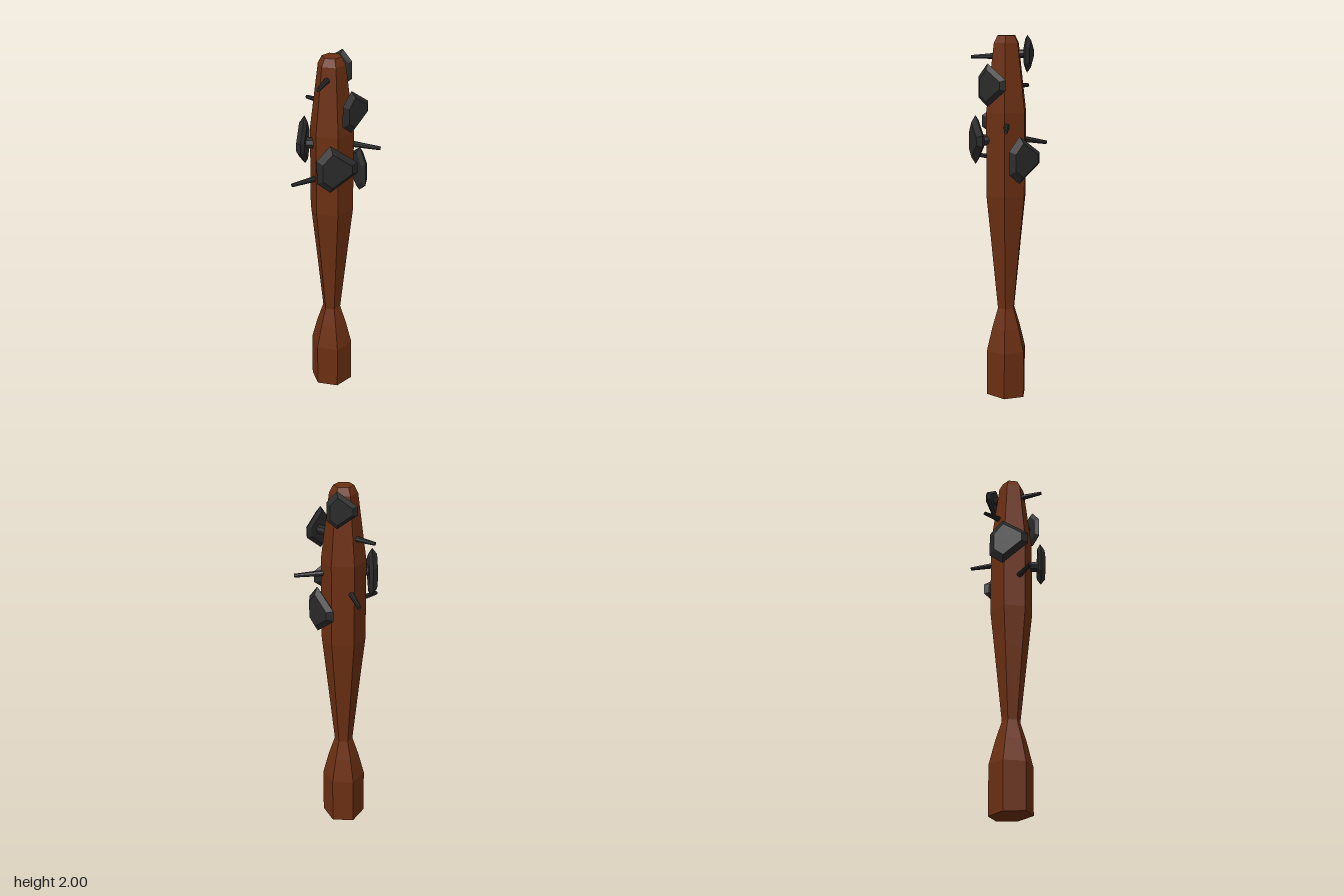
import * as THREE from 'three';

const AXIS_X = 0.02, AXIS_Z = -0.015;
const wood = new THREE.MeshStandardMaterial({ color: 0x6b2f12, flatShading: true });
const iron = new THREE.MeshStandardMaterial({ color: 0x2a2a2a, flatShading: true });

function addMesh(parent, name, geometry, material) {
  const mesh = new THREE.Mesh(geometry, material);
  mesh.name = name;
  parent.add(mesh);
  return mesh;
}

// Six-sided club: pommel, narrow waist, flared head, chamfered tip
function clubGeometry() {
  const profile = [
    [0, 0], [0.118, 0], [0.118, 0.27], [0.085, 0.4], [0.05, 0.51], [0.093, 0.92],
    [0.118, 1.15], [0.118, 1.6], [0.073, 1.96], [0.052, 2], [0, 2],
  ].map(([r, y]) => new THREE.Vector2(r, y));
  const geometry = new THREE.LatheGeometry(profile, 6, Math.PI / 2);
  const p = geometry.attributes.position;
  // Slightly slanted cut under the pommel
  for (let i = 0; i < p.count; i++) {
    if (p.getY(i) < 0.1) p.setY(i, 0.007 - 0.04 * p.getX(i) + 0.04 * p.getZ(i));
  }
  return geometry.toNonIndexed();
}

// Irregular hexagonal plate, widest at its rim and facing local +z
function plateGeometry() {
  const outline = [[-0.09, 0.045], [-0.03, 0.113], [0.09, 0.03], [0.09, -0.022], [-0.03, -0.112], [-0.09, -0.065]]
    .reverse(); // counter-clockwise seen from +z
  const layers = [[0, -0.018], [0.78, -0.018], [1, -0.004], [0.72, 0.018], [0, 0.018]];
  const n = outline.length, positions = [], index = [];
  for (const [scale, z] of layers) {
    for (const [x, y] of outline) positions.push(x * scale, y * scale, z);
  }
  for (let l = 0; l < layers.length - 1; l++) {
    for (let i = 0; i < n; i++) {
      const a = l * n + i, b = l * n + (i + 1) % n;
      index.push(a, b, b + n, a, b + n, a + n);
    }
  }
  const geometry = new THREE.BufferGeometry();
  geometry.setAttribute('position', new THREE.Float32BufferAttribute(positions, 3));
  geometry.setIndex(index);
  const flat = geometry.toNonIndexed();
  flat.computeVertexNormals();
  return flat;
}

// Tapered rod between two points
function addSpike(parent, from, to) {
  const a = new THREE.Vector3(...from), b = new THREE.Vector3(...to);
  const dir = b.clone().sub(a);
  const spike = addMesh(parent, 'spike', new THREE.CylinderGeometry(0.01, 0.017, dir.length(), 8), iron);
  spike.position.copy(a).add(b).multiplyScalar(0.5);
  spike.quaternion.setFromUnitVectors(new THREE.Vector3(0, 1, 0), dir.normalize());
}

export function createModel() {
  const group = new THREE.Group();
  group.name = 'spikedClub';

  const club = addMesh(group, 'club', clubGeometry(), wood);
  club.position.set(AXIS_X, 0, AXIS_Z);

  // Plates on short stems: centre, outward direction (x, z), scale
  const plates = [
    [[0.035, 1.745, 0.14], [-0.04, 1], 1],
    [[0.172, 1.355, 0.03], [0.94, 0.33], 1.12],
    [[0.125, 1.905, -0.072], [0.93, -0.37], 0.87],
    [[-0.085, 1.53, -0.125], [-0.59, -0.8], 1.22],
    [[-0.08, 1.45, 0.12], [-0.62, 0.78], 1.17],
  ];
  for (const [center, [nx, nz], scale] of plates) {
    const stud = new THREE.Group();
    stud.name = 'plateStud';
    stud.position.set(...center);
    stud.rotation.y = Math.atan2(nx, nz);
    stud.scale.setScalar(scale);
    addMesh(stud, 'plate', plateGeometry(), iron);
    const stem = addMesh(stud, 'stem', new THREE.CylinderGeometry(0.025, 0.025, 0.09, 8), iron);
    stem.rotation.x = Math.PI / 2;
    stem.position.z = -0.055;
    group.add(stud);
  }

  // Spikes driven into the head
  const spikes = [
    [[0.03, 1.735, -0.08], [0.03, 1.73, -0.207]],
    [[0.07, 1.45, -0.09], [0.16, 1.425, -0.198]],
    [[0.075, 1.53, 0.06], [0.165, 1.515, 0.197]],
    [[-0.06, 1.345, -0.035], [-0.213, 1.34, -0.079]],
    [[-0.03, 1.893, 0.005], [-0.155, 1.887, 0.06]],
  ];
  for (const [from, to] of spikes) addSpike(group, from, to);

  return group;
}
